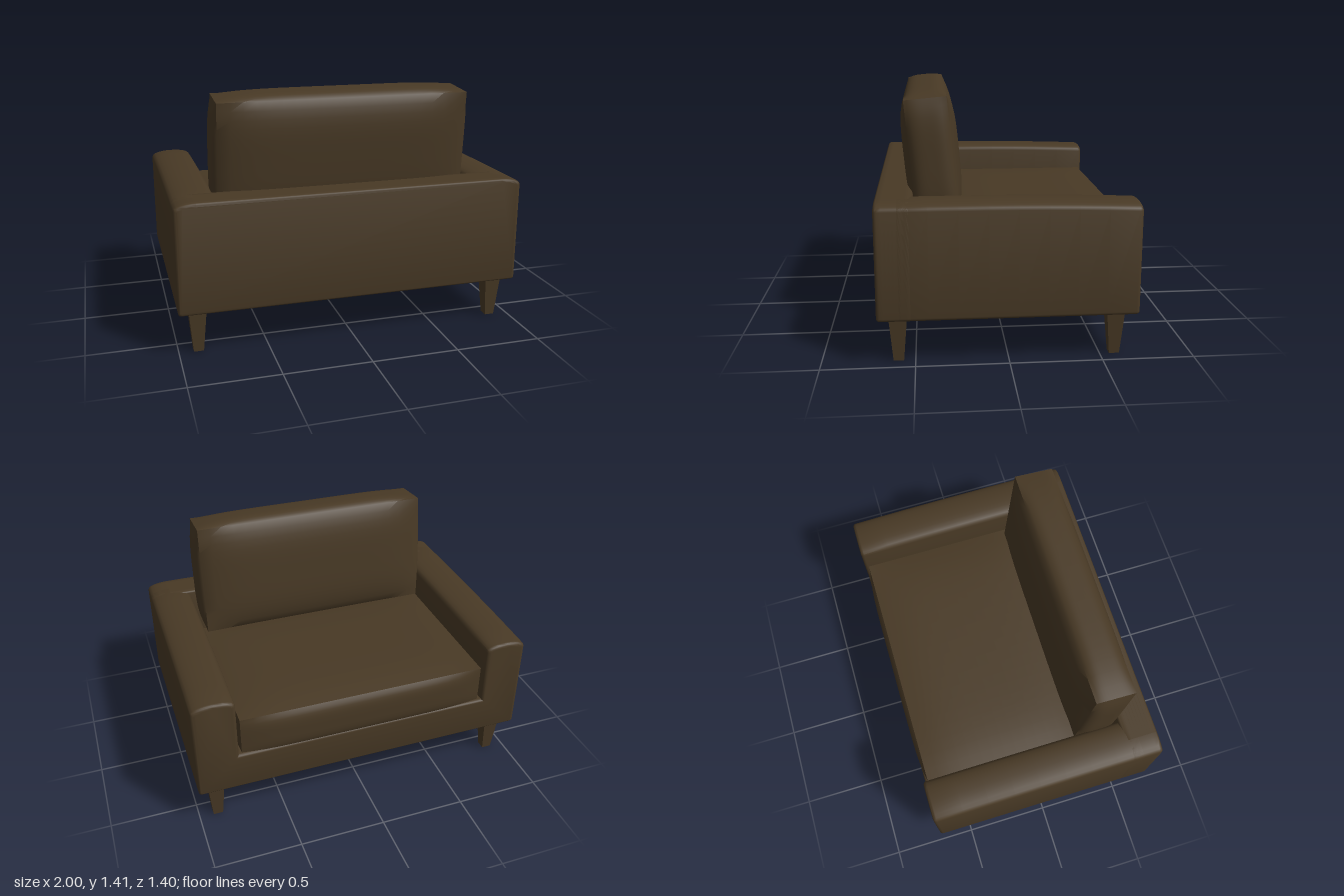
import * as THREE from 'three';
import { toCreasedNormals } from 'three/addons/utils/BufferGeometryUtils.js';

const fabric = new THREE.MeshStandardMaterial({ color: 0x483925 });
fabric.name = 'dark brown';

function addMesh(parent, name, geometry) {
  const mesh = new THREE.Mesh(geometry, fabric);
  mesh.name = name;
  parent.add(mesh);
  return mesh;
}

// Move every vertex by a rule
function deform(geometry, rule) {
  const p = geometry.attributes.position;
  const v = new THREE.Vector3();
  for (let i = 0; i < p.count; i++) {
    v.fromBufferAttribute(p, i);
    rule(v);
    p.setXYZ(i, v.x, v.y, v.z);
  }
  return geometry;
}

// Extrude a front profile from z0 to z1 with soft edges; tops dip gently towards the open side
function upholster(shape, z0, z1) {
  const b = 0.02;
  const g = new THREE.ExtrudeGeometry(shape, {
    depth: z1 - z0 - 2 * b, steps: 8, curveSegments: 6,
    bevelEnabled: true, bevelSize: b, bevelOffset: -b, bevelThickness: b, bevelSegments: 4,
  });
  g.translate(0, 0, z0 + b);
  deform(g, (v) => {
    if (v.y > 0.8 && v.z < 0.2) v.y -= 0.02 * ((0.2 - v.z) / 0.9) ** 2;
  });
  return toCreasedNormals(g, 0.6);
}

// Outer contour: bottom edge and right side, up to the crowned top
function outerRight(s) {
  s.moveTo(-0.98, 0.25);
  s.lineTo(0.98, 0.25);
  s.quadraticCurveTo(1, 0.25, 1, 0.27);
  s.lineTo(1, 0.84);
  s.bezierCurveTo(1, 0.868, 0.93, 0.88, 0.88, 0.88);
}

function outerLeft(s) {
  s.bezierCurveTo(-0.93, 0.88, -1, 0.868, -1, 0.84);
  s.lineTo(-1, 0.27);
  s.quadraticCurveTo(-1, 0.25, -0.98, 0.25);
}

// Box with swollen faces
function cushion(w, h, d, bx, by, bz) {
  const g = new THREE.BoxGeometry(2, 2, 2, 20, 14, 14);
  const f = (a) => 1 - a ** 4;
  const flat = (a) => 1 - a ** 6;
  deform(g, ({ x, y, z }, i) => {});
  deform(g, (v) => {
    const { x, y, z } = v;
    v.set(
      x * (w / 2 + bx * f(y) * f(z)),
      y * (h / 2 + by * flat(x) * f(z)),
      z * (d / 2 + bz * flat(x) * f(y)),
    );
  });
  return toCreasedNormals(g, 0.7);
}

export function createModel() {
  const chair = new THREE.Group();
  chair.name = 'armchair';

  // Base and arms as one U-shaped body
  const u = new THREE.Shape();
  outerRight(u);
  u.bezierCurveTo(0.82, 0.88, 0.755, 0.875, 0.755, 0.84);
  u.lineTo(0.755, 0.48);
  u.lineTo(-0.755, 0.48);
  u.lineTo(-0.755, 0.84);
  u.bezierCurveTo(-0.755, 0.875, -0.82, 0.88, -0.88, 0.88);
  outerLeft(u);
  addMesh(chair, 'baseAndArms', upholster(u, -0.695, 0.6));

  // Full-width back panel
  const back = new THREE.Shape();
  outerRight(back);
  back.lineTo(-0.88, 0.88);
  outerLeft(back);
  addMesh(chair, 'backPanel', upholster(back, 0.5, 0.7));

  // Cushions
  const seat = addMesh(chair, 'seatCushion', cushion(1.47, 0.26, 0.98, 0.015, 0.025, 0.03));
  seat.position.set(0, 0.575, -0.18);
  const rest = addMesh(chair, 'backCushion', cushion(1.44, 0.68, 0.23, 0.03, 0.03, 0.045));
  rest.position.set(-0.015, 1.04, 0.395);
  rest.rotation.x = 0.09;

  // Tapered square legs
  const legGeometry = new THREE.CylinderGeometry(0.05 * Math.SQRT2, 0.028 * Math.SQRT2, 0.26, 4, 1);
  legGeometry.rotateY(Math.PI / 4);
  const legs = toCreasedNormals(legGeometry, 0.5);
  for (const x of [-0.89, 0.89]) {
    for (const z of [-0.58, 0.59]) {
      addMesh(chair, 'leg', legs).position.set(x, 0.13, z);
    }
  }
  return chair;
}
